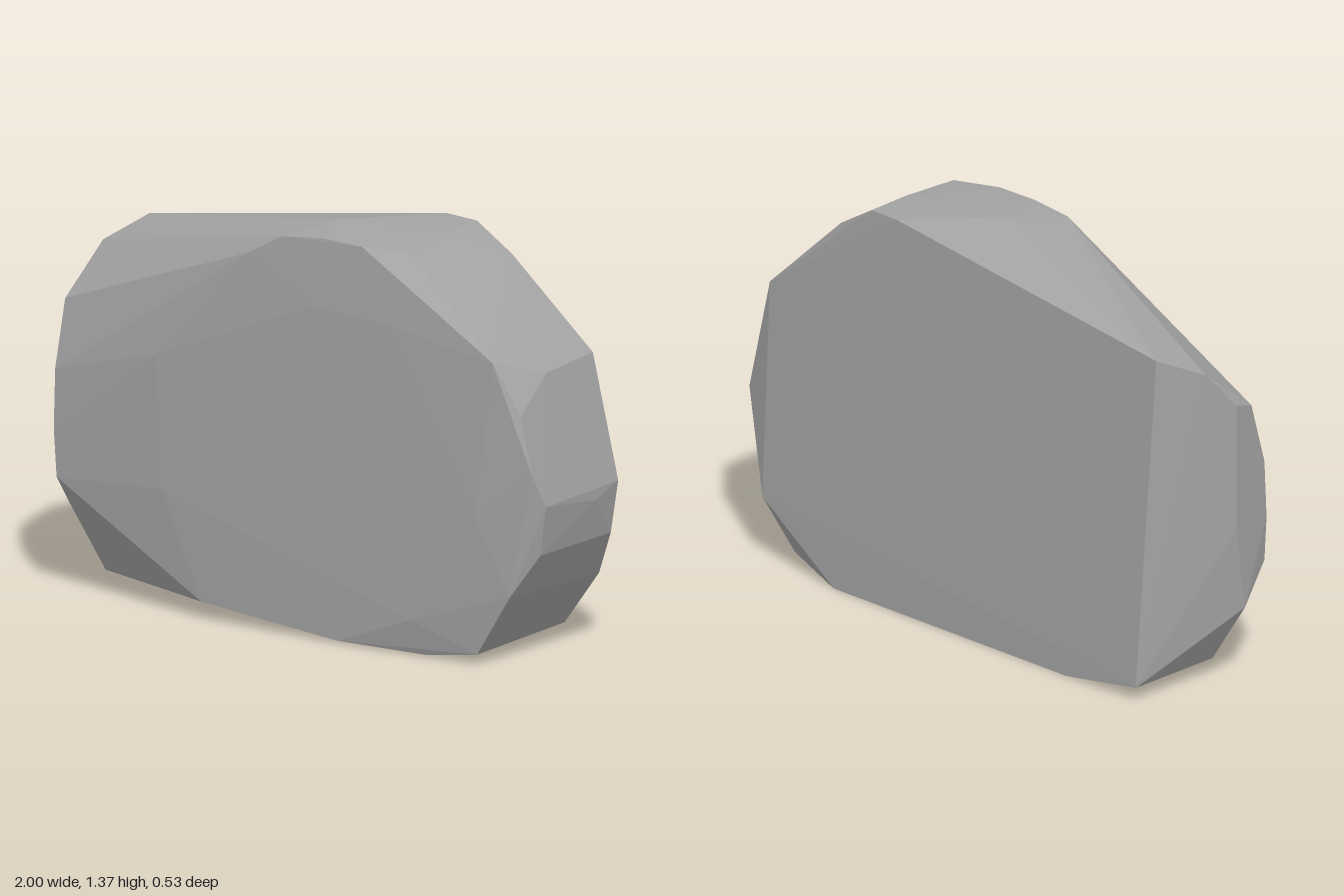
import * as THREE from 'three';
import { ConvexGeometry } from 'three/addons/geometries/ConvexGeometry.js';

export function createModel() {
  const group = new THREE.Group();
  group.name = 'boulder';
  const stone = new THREE.MeshStandardMaterial({ color: 0xa3a3a3, flatShading: true });
  stone.name = 'grey stone';

  // Flat back face, leaning slightly forward towards the top
  const back = [
    [-0.89, 1.2, -0.21], [0.29, 1.365, -0.23], [0.42, 1.36, -0.22], [0.57, 1.27, -0.21],
    [0.88, 0.98, -0.23], [1, 0.57, -0.205], [0.97, 0.39, -0.205], [0.88, 0.23, -0.265],
    [0.77, 0.055, -0.225], [0.55, 0, -0.265], [-0.53, 0, -0.265], [-0.85, 0.05, -0.265],
  ];
  // Corners around the rim, between the two faces
  const rim = [
    [-0.97, 1.13, -0.06], [-1, 1.0, 0.05], [-1, 0.56, 0.05], [-0.99, 0.27, 0.1],
    [-0.86, 0.06, 0.08], [0.05, 1.365, 0.05], [0.23, 1.365, -0.1], [0.43, 1.36, -0.05],
    [0.9, 0.97, 0.06], [1, 0.53, -0.08], [0.95, 0.36, 0],
  ];
  // Front outline
  const front = [
    [-0.03, 1.335, 0.24], [0.13, 1.35, 0.24], [0.29, 1.345, 0.245], [0.46, 1.335, 0.2],
    [0.82, 1.03, 0.25], [0.92, 0.86, 0.23], [0.97, 0.67, 0.24], [1, 0.56, 0.2],
    [0.97, 0.39, 0.19], [0.89, 0.25, 0.25], [0.75, 0.035, 0.24], [0.55, 0.005, 0.24],
    [0.2, 0.008, 0.26], [-0.35, 0.06, 0.255], [-0.95, 0.39, 0.23], [-0.965, 0.55, 0.225],
    [-0.97, 0.75, 0.21], [-0.98, 0.97, 0.14], [-0.17, 1.26, 0.245],
  ];
  // Shallow swelling of the front face
  const swell = [
    [-0.53, 0.87, 0.26], [0.1, 1.12, 0.26], [0.4, 1.1, 0.26],
    [0.76, 0.5, 0.265], [0.5, 0.12, 0.265], [-0.5, 0.42, 0.265],
  ];

  const points = [...back, ...rim, ...front, ...swell].map((p) => new THREE.Vector3(...p));
  const rock = new THREE.Mesh(new ConvexGeometry(points), stone);
  rock.name = 'rock';
  group.add(rock);
  return group;
}
